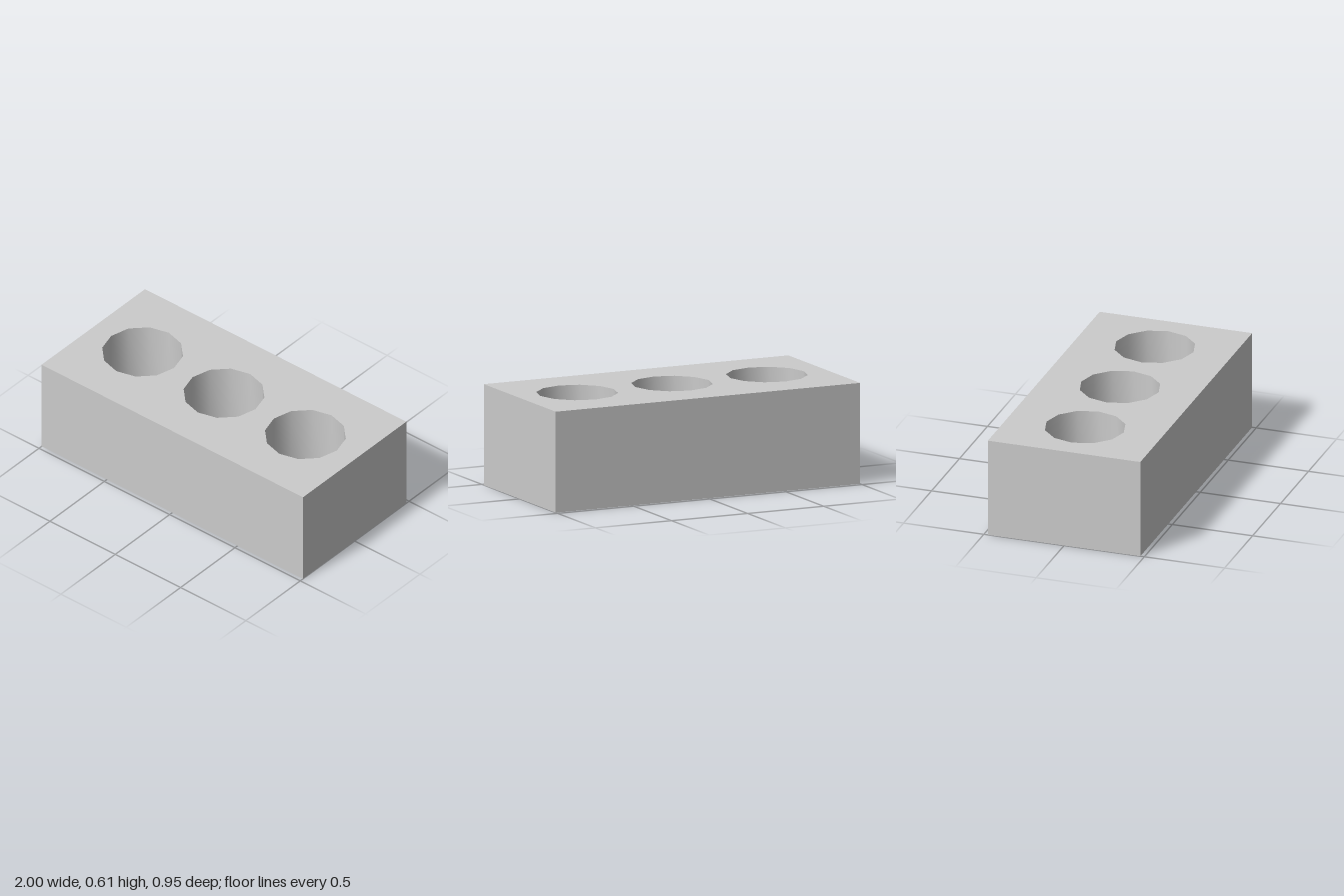
import * as THREE from 'three';
import { toCreasedNormals } from 'three/addons/utils/BufferGeometryUtils.js';

const WIDTH = 2, HEIGHT = 0.605, DEPTH = 0.95;
const HOLE_RADIUS = 0.241, HOLE_SPACING = 0.623, HOLE_SIDES = 12;

// Twelve-sided hole outline with a corner on each axis
function holePath(cx) {
  const points = [];
  for (let i = 0; i < HOLE_SIDES; i++) {
    const a = (i / HOLE_SIDES) * Math.PI * 2;
    points.push(new THREE.Vector2(cx + HOLE_RADIUS * Math.cos(a), HOLE_RADIUS * Math.sin(a)));
  }
  return new THREE.Path(points);
}

export function createModel() {
  const group = new THREE.Group();
  group.name = 'brick';

  // Rectangular plan pierced by three through holes
  const w = WIDTH / 2, d = DEPTH / 2;
  const plan = new THREE.Shape([
    new THREE.Vector2(-w, -d), new THREE.Vector2(w, -d),
    new THREE.Vector2(w, d), new THREE.Vector2(-w, d),
  ]);
  for (const i of [-1, 0, 1]) plan.holes.push(holePath(i * HOLE_SPACING));

  // Raise the plan to full height; hole walls are smooth, block edges sharp
  const solid = new THREE.ExtrudeGeometry(plan, { depth: HEIGHT, bevelEnabled: false });
  solid.rotateX(-Math.PI / 2);
  const body = new THREE.Mesh(
    toCreasedNormals(solid, Math.PI / 4),
    new THREE.MeshStandardMaterial({ color: 0xcccccc })
  );
  body.name = 'brickBody';
  group.add(body);

  return group;
}
